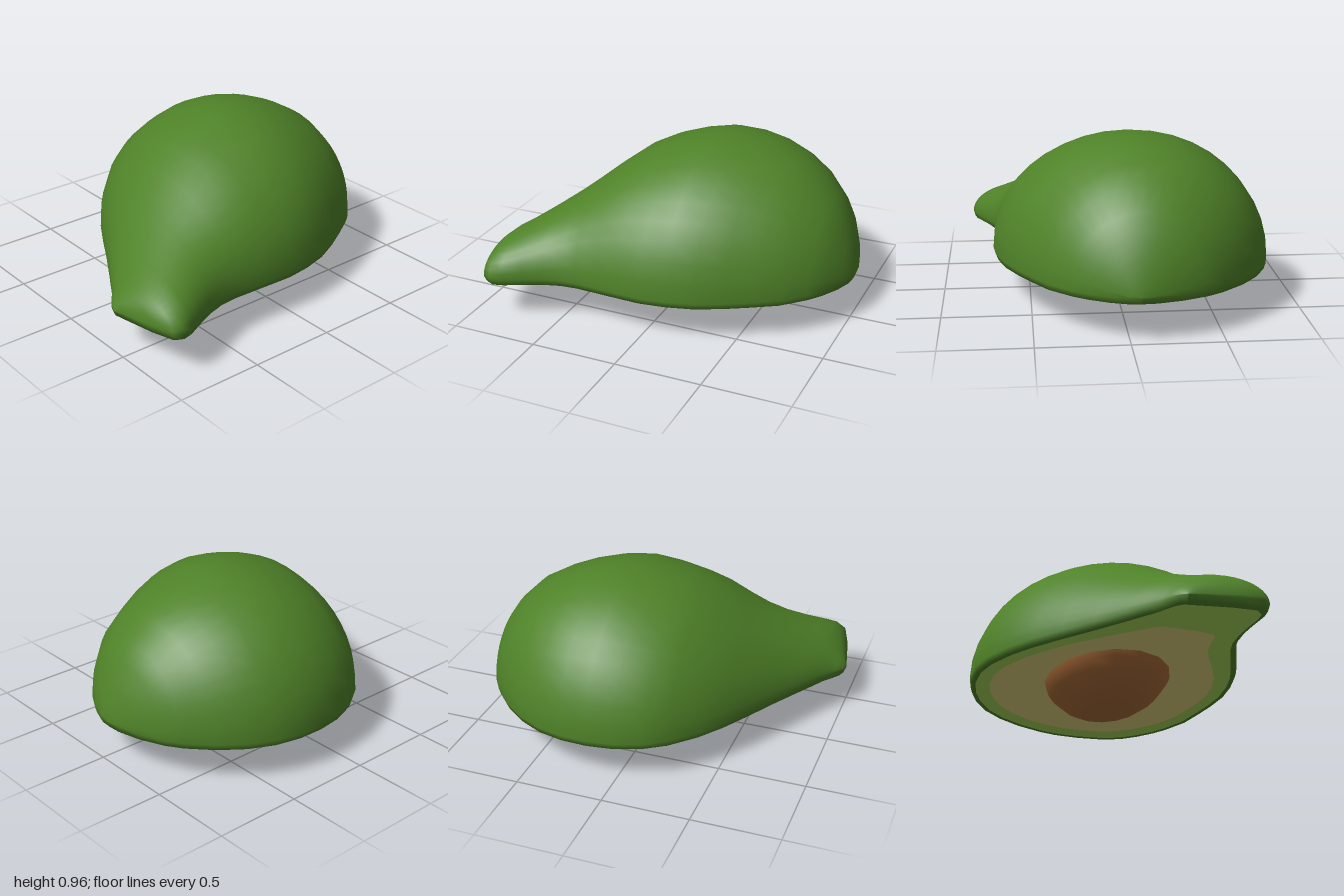
import * as THREE from 'three';

const FACE_Y = 0.215; // level of the flat cut
const RIM_Y = 0.25; // level where the dome springs from the rim
const CX = -0.08, CZ = -0.12; // point the cut face shrinks towards

// Cross-sections from the round end to the neck: z, smallest x, largest x, top y
const sections = [
  [-1, -0.06, -0.06, 0.25],
  [-0.995, -0.14, 0.01, 0.31],
  [-0.96, -0.28, 0.11, 0.45],
  [-0.9, -0.42, 0.22, 0.58],
  [-0.84, -0.51, 0.3, 0.67],
  [-0.72, -0.64, 0.42, 0.79],
  [-0.59, -0.74, 0.5, 0.865],
  [-0.45, -0.81, 0.58, 0.92],
  [-0.3, -0.845, 0.65, 0.955],
  [-0.15, -0.85, 0.69, 0.963],
  [0, -0.83, 0.71, 0.935],
  [0.15, -0.775, 0.705, 0.89],
  [0.27, -0.695, 0.7, 0.835],
  [0.4, -0.56, 0.695, 0.74],
  [0.5, -0.42, 0.705, 0.66],
  [0.6, -0.25, 0.735, 0.585],
  [0.7, -0.07, 0.78, 0.52],
  [0.8, 0.1, 0.83, 0.46],
  [0.86, 0.2, 0.845, 0.43],
  [0.91, 0.285, 0.82, 0.39],
  [0.95, 0.335, 0.69, 0.345],
  [0.985, 0.385, 0.51, 0.295],
  [1, 0.43, 0.43, 0.25],
];

// Move a point of the outline towards the centre of the cut
const inset = (x, z, s) => [CX + (x - CX) * s, CZ + (z - CZ) * s];

// Domed skin lofted through half-elliptical sections, with a rim rolled under
function skinGeometry() {
  const arc = 20, positions = [], index = [];
  const put = (x, y, z) => positions.push(x, y, z);
  const under = (x, z, s) => {
    const [px, pz] = inset(x, z, s);
    put(px, FACE_Y, pz);
  };
  for (const [z, left, right, top] of sections) {
    const mid = (left + right) / 2, half = (right - left) / 2;
    under(left, z, 0.955);
    under(left, z, 0.987);
    for (let j = 0; j <= arc; j++) {
      const t = (j / arc) * Math.PI;
      put(mid - half * Math.cos(t), RIM_Y + (top - RIM_Y) * Math.sin(t), z);
    }
    under(right, z, 0.987);
    under(right, z, 0.955);
  }
  const n = arc + 5;
  for (let i = 0; i < sections.length - 1; i++) {
    for (let j = 0; j < n - 1; j++) {
      const a = i * n + j, b = a + n;
      index.push(a, b, a + 1, b, b + 1, a + 1);
    }
  }
  const g = new THREE.BufferGeometry();
  g.setAttribute('position', new THREE.Float32BufferAttribute(positions, 3));
  g.setIndex(index);
  g.computeVertexNormals();
  return g;
}

// Closed outline of the cut, scaled by a rule of the distance from its centre
function outline(scaleAt) {
  const lefts = sections.map(([z, left]) => [left, z]);
  const rights = sections.slice(1, -1).map(([z, , right]) => [right, z]).reverse();
  return [...lefts, ...rights].map(([x, z]) => {
    const s = scaleAt(Math.hypot(x - CX, z - CZ));
    return new THREE.Vector2(...inset(x, z, s));
  });
}

// Flat downward face from a shape drawn in x and z
function cutFace(points, hole) {
  const shape = new THREE.Shape(points);
  if (hole) shape.holes.push(new THREE.Path(hole));
  return new THREE.ShapeGeometry(shape).rotateX(Math.PI / 2).translate(0, FACE_Y, 0);
}

export function createModel() {
  const group = new THREE.Group();
  group.name = 'halvedFruit';
  const material = (name, color) => {
    const m = new THREE.MeshStandardMaterial({ color });
    m.name = name;
    return m;
  };
  const add = (name, geometry, mat) => {
    const mesh = new THREE.Mesh(geometry, mat);
    mesh.name = name;
    group.add(mesh);
    return mesh;
  };

  add('skin', skinGeometry(), material('skinGreen', 0x4f8228));

  // Cut face: green band outside, cream flesh inside, wider band at the neck
  const inner = outline((d) => 0.85 - 0.25 * Math.max(0, d - 0.75));
  add('outerFlesh', cutFace(outline(() => 0.955), inner), material('fleshGreen', 0xa8d658));
  add('innerFlesh', cutFace(inner), material('fleshCream', 0xe0d27c));

  // Pit: lower half of an ellipsoid turned along the fruit's axis
  const pit = add('pit',
    new THREE.SphereGeometry(1, 16, 8, 0, Math.PI * 2, Math.PI / 2, Math.PI / 2),
    material('pitBrown', 0xaa6c38));
  pit.scale.set(0.36, 0.3, 0.47);
  pit.position.set(-0.035, 0.3, 0);
  pit.rotation.y = 0.47;

  return group;
}
